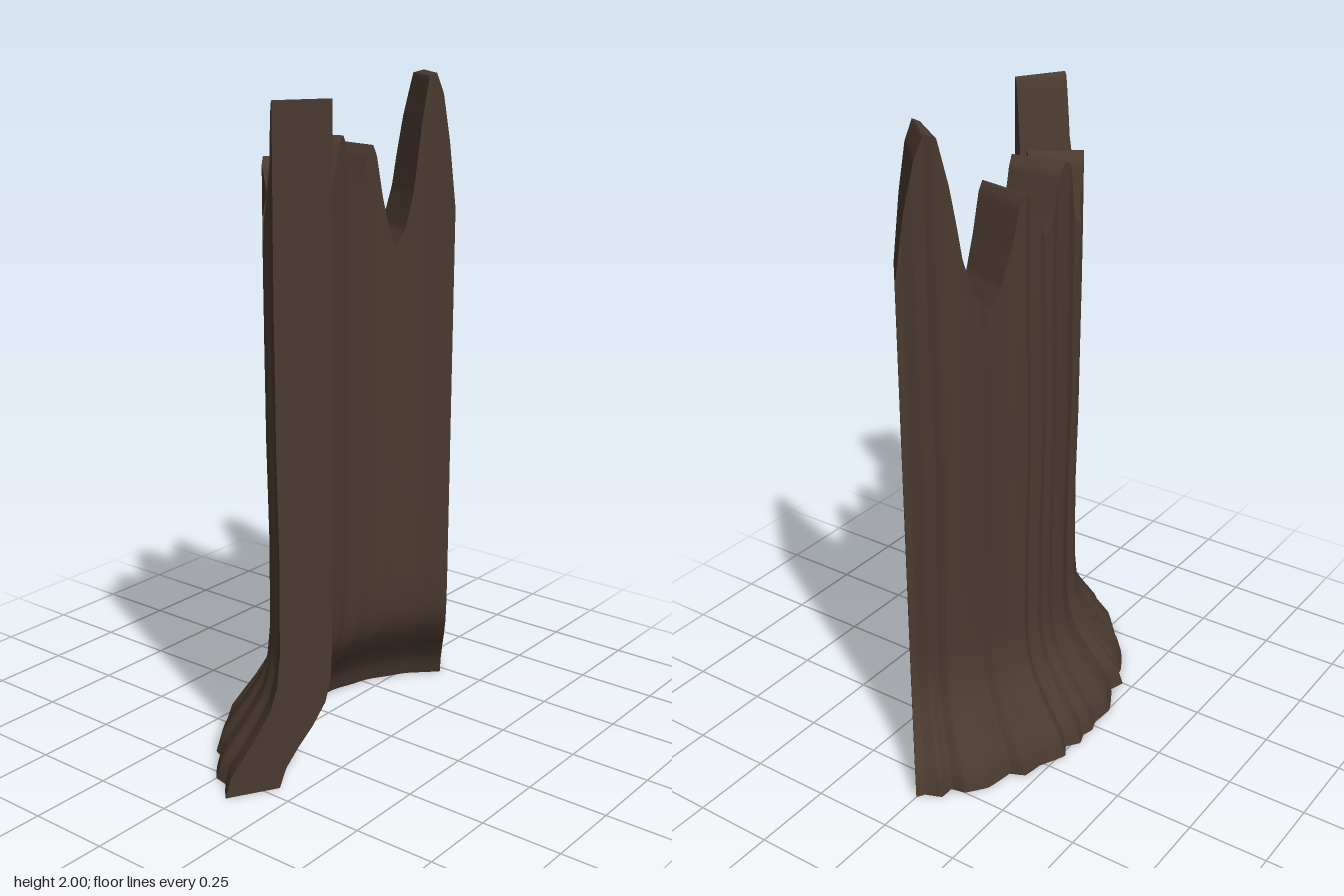
import * as THREE from 'three';

// Arc centre of the curved bark shell
const CX = 0.473, CZ = -0.036, DEG = Math.PI / 180;
const START = -50, END = 59.6;

// Ragged outer edge of the foot, as x, z pairs
const FOOT = [
  [0, -0.6], [-0.015, -0.575], [-0.065, -0.555], [-0.065, -0.51], [-0.11, -0.5], [-0.155, -0.44],
  [-0.17, -0.35], [-0.215, -0.33], [-0.225, -0.265], [-0.265, -0.18], [-0.24, -0.14], [-0.27, -0.1],
  [-0.255, -0.06], [-0.265, -0.02], [-0.25, 0.02], [-0.255, 0.1], [-0.2, 0.2], [-0.215, 0.25],
  [-0.175, 0.275], [-0.17, 0.31], [-0.11, 0.41], [-0.06, 0.43], [-0.055, 0.465], [0, 0.53],
  [0.045, 0.54], [0.1, 0.6],
];
const RIPPLE = FOOT.map(([x, z]) => [
  Math.atan2(z - CZ, CX - x) / DEG, Math.hypot(z - CZ, CX - x) - 0.735,
]);

// Height of the splintered rim by angle
const RIM = [
  [-50, 1.6], [-47, 1.8], [-44, 1.94], [-41, 2], [-38, 1.99], [-35, 1.86], [-31.5, 1.65], [-28, 1.54],
  [-24, 1.49], [-20, 1.55], [-16.5, 1.65], [-13.5, 1.77], [-11.6, 1.8], [-9, 1.77], [-5, 1.69],
  [-2, 1.65], [1, 1.7], [5, 1.81], [8, 1.84], [11, 1.82], [15, 1.74], [18.4, 1.66], [22, 1.6],
  [26, 1.67], [30, 1.77], [33.5, 1.8], [38, 1.77], [43, 1.65], [47.5, 1.57], [50, 1.65],
  [54, 1.83], [58, 1.96], [59.6, 1.97],
];

// Radius by height for the flared outer and inner faces
const OUTER = [[0, 0.735], [0.06, 0.718], [0.12, 0.677], [0.18, 0.637], [0.25, 0.597], [0.32, 0.576],
  [0.42, 0.567], [0.7, 0.566], [1, 0.572], [1.45, 0.576], [2, 0.576]];
const INNER = [[0, 0.57], [0.06, 0.55], [0.12, 0.512], [0.18, 0.468], [0.25, 0.428], [0.32, 0.412],
  [0.42, 0.407], [1, 0.408], [2, 0.408]];
const ROWS = [0, 0.03, 0.06, 0.09, 0.12, 0.15, 0.18, 0.215, 0.25, 0.285, 0.32, 0.37, 0.42, 0.7, 1, 1.25, 1.4];

function lookup(table, t) {
  if (t <= table[0][0]) return table[0][1];
  for (let i = 1; i < table.length; i++) {
    const [a, p] = table[i - 1], [b, q] = table[i];
    if (t <= b) return p + (q - p) * (t - a) / (b - a);
  }
  return table[table.length - 1][1];
}

const angle = (u) => START + (END - START) * u;
// Fixed rows, then three more rows reaching the splintered rim
const TOP_ROWS = 3;
const V = ROWS.length - 1 + TOP_ROWS;
function height(phi, j) {
  if (j < ROWS.length) return ROWS[j];
  const base = ROWS[ROWS.length - 1];
  return base + (lookup(RIM, phi) - base) * (j - ROWS.length + 1) / TOP_ROWS;
}

function outerRadius(phi, y) {
  const fade = 1 - 0.45 * Math.min(1, y / 0.4);
  // Furrows wander slightly with height
  const wander = 0.6 * Math.sin(y * 5) * Math.min(1, (phi - START) / 8, (END - phi) / 8);
  return lookup(OUTER, y) + fade * lookup(RIPPLE, phi + wander);
}
const innerRadius = (phi, y) => lookup(INNER, y) + 0.002 * Math.sin(phi * 0.45);

// k = 0 on the outer face, 1 on the inner face
function point(phi, y, k) {
  const r = outerRadius(phi, y) * (1 - k) + innerRadius(phi, y) * k;
  return [CX - r * Math.cos(phi * DEG), y, CZ + r * Math.sin(phi * DEG)];
}

// Smooth grid patch facing du x dv
function patch(name, nu, nv, at, material) {
  const position = [], index = [];
  for (let j = 0; j <= nv; j++) {
    for (let i = 0; i <= nu; i++) {
      position.push(...at(i / nu, j));
      if (i < nu && j < nv) {
        const a = j * (nu + 1) + i, b = a + 1, c = a + nu + 1, d = c + 1;
        index.push(a, b, d, a, d, c);
      }
    }
  }
  const geometry = new THREE.BufferGeometry();
  geometry.setAttribute('position', new THREE.Float32BufferAttribute(position, 3));
  geometry.setIndex(index);
  geometry.computeVertexNormals();
  const mesh = new THREE.Mesh(geometry, material);
  mesh.name = name;
  return mesh;
}

export function createModel() {
  const group = new THREE.Group();
  group.name = 'brokenHollowTrunk';
  const wood = new THREE.MeshStandardMaterial({ color: 0x4a3a30 });
  wood.name = 'darkBrownWood';
  const N = 220;

  const wall = (u, j, k) => point(angle(u), height(angle(u), j), k);
  group.add(
    // Furrowed bark and smooth hollow
    patch('outerBark', N, V, (u, j) => wall(u, j, 0), wood),
    patch('innerHollow', N, V, (u, j) => wall(1 - u, j, 1), wood),
    // Splintered rim and flat underside
    patch('splinteredRim', N, 1, (u, j) => wall(u, V, j), wood),
    patch('underside', N, 1, (u, j) => wall(u, 0, 1 - j), wood),
    // Split faces at both ends of the arc
    patch('frontSplitFace', 1, V, (u, j) => wall(1, j, u), wood),
    patch('backSplitFace', 1, V, (u, j) => wall(0, j, 1 - u), wood),
  );
  return group;
}
